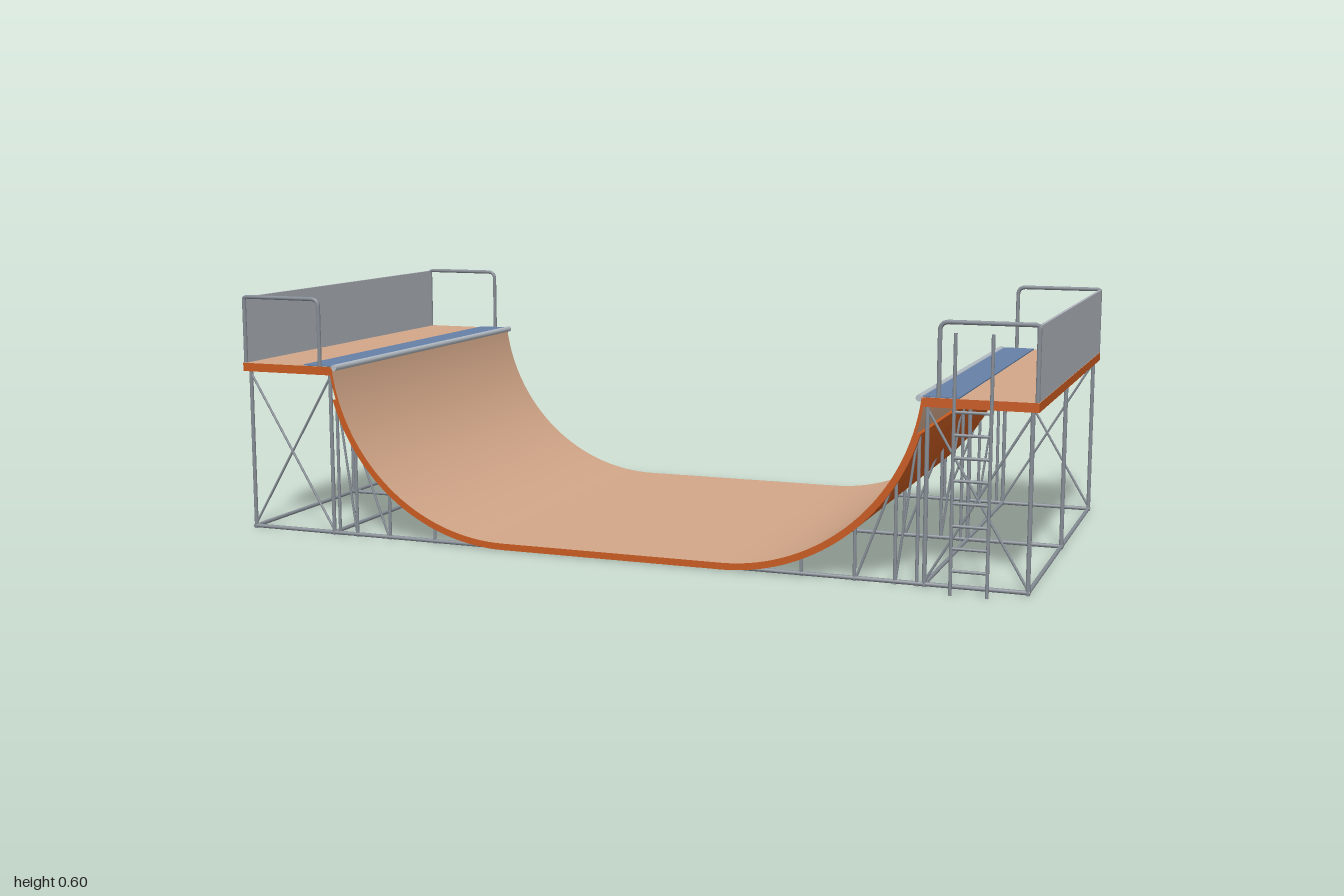
import * as THREE from 'three';
import { toCreasedNormals } from 'three/addons/utils/BufferGeometryUtils.js';

const mat = (name, color) => new THREE.MeshStandardMaterial({ name, color });

const Z0 = -0.52, Z1 = 0.47, ZC = (Z0 + Z1) / 2, LEN = Z1 - Z0;
const ROWS = [0.458, -0.022, -0.502];
const FLAT = 0.28, R = 0.467, FLOOR = 0.017; // transition start, inner radius, riding floor height

export function createModel() {
  const plywood = mat('plywood', 0xd2a688);
  const orange = mat('orange wood', 0xc75a20);
  const blue = mat('blue grip', 0x6580a6);
  const panelGrey = mat('panel grey', 0xaeb2ba);
  const steel = mat('steel', 0x868d95);
  const coping = mat('coping steel', 0xb4bcc4);

  const model = new THREE.Group();
  model.name = 'halfPipe';

  const add = (parent, name, geometry, material) => {
    const mesh = new THREE.Mesh(geometry, material);
    mesh.name = name;
    parent.add(mesh);
    return mesh;
  };
  const box = (parent, name, x0, x1, y0, y1, z0, z1, material) =>
    add(parent, name, new THREE.BoxGeometry(x1 - x0, y1 - y0, z1 - z0), material)
      .position.set((x0 + x1) / 2, (y0 + y1) / 2, (z0 + z1) / 2);

  // Straight pipe between two points
  const pipe = (parent, name, a, b, r = 0.005, material = steel) => {
    const p = new THREE.Vector3(...a), q = new THREE.Vector3(...b);
    const d = q.clone().sub(p);
    const mesh = add(parent, name, new THREE.CylinderGeometry(r, r, d.length(), 10), material);
    mesh.position.copy(p).add(q).multiplyScalar(0.5);
    mesh.quaternion.setFromUnitVectors(new THREE.Vector3(0, 1, 0), d.normalize());
  };

  // Curved layer of the ramp, offset outward from the riding surface
  const rampLayer = (name, inner, outer, topY, materials) => {
    const cy = FLOOR + R;
    const halfProfile = (off) => {
      const r = R + off, end = Math.acos((cy - topY) / r), pts = [];
      for (let i = 0; i <= 32; i++) {
        const t = end * i / 32;
        pts.push(new THREE.Vector2(FLAT + r * Math.sin(t), cy - r * Math.cos(t)));
      }
      return pts;
    };
    const profile = (off) => {
      const h = halfProfile(off);
      return [...h.map((p) => new THREE.Vector2(-p.x, p.y)).reverse(), ...h];
    };
    const shape = new THREE.Shape([...profile(outer), ...profile(inner).reverse()]);
    const geo = new THREE.ExtrudeGeometry(shape, { depth: LEN, bevelEnabled: false });
    geo.translate(0, 0, Z0);
    add(model, name, toCreasedNormals(geo, 0.5), materials);
  };
  rampLayer('ridingSurface', 0, 0.007, 0.424, [orange, plywood]);
  rampLayer('rampBacking', 0.007, 0.016, 0.345, orange);

  // Height of the ramp underside at a given x
  const underside = (x) => FLOOR + R - Math.sqrt((R + 0.012) ** 2 - (x - FLAT) ** 2);

  for (const s of [-1, 1]) {
    const side = new THREE.Group();
    side.name = s > 0 ? 'leftTower' : 'rightTower';
    model.add(side);
    const span = (name, a, b, y0, y1, z0, z1, m) =>
      box(side, name, Math.min(s * a, s * b), Math.max(s * a, s * b), y0, y1, z0, z1, m);

    // Platform deck, grip strip, coping and back panel
    span('deck', 0.742, 1, 0.406, 0.427, Z0, Z1, [orange, orange, plywood, plywood, orange, orange]);
    span('gripStrip', 0.746, 0.826, 0.427, 0.43, Z0 + 0.004, Z1 - 0.004, blue);
    pipe(side, 'coping', [s * 0.738, 0.425, Z0], [s * 0.738, 0.425, Z1], 0.008, coping);
    span('backPanel', 0.992, 0.999, 0.427, 0.593, Z0 + 0.004, Z1 - 0.004, panelGrey);

    // Bent guard rails at both ends
    for (const z of [Z0 + 0.006, Z1 - 0.006]) {
      const v = (x, y) => new THREE.Vector3(s * x, y, z);
      const path = new THREE.CurvePath();
      path.add(new THREE.LineCurve3(v(0.995, 0.42), v(0.995, 0.588)));
      path.add(new THREE.QuadraticBezierCurve3(v(0.995, 0.588), v(0.995, 0.594), v(0.989, 0.594)));
      path.add(new THREE.LineCurve3(v(0.989, 0.594), v(0.8, 0.594)));
      path.add(new THREE.QuadraticBezierCurve3(v(0.8, 0.594), v(0.78, 0.594), v(0.78, 0.574)));
      path.add(new THREE.LineCurve3(v(0.78, 0.574), v(0.78, 0.42)));
      add(side, 'guardRail', new THREE.TubeGeometry(path, 90, 0.005, 8), steel);
    }

    // Support frames
    ROWS.forEach((z, i) => {
      const bar = (name, x0, y0, x1, y1, r) => pipe(side, name, [s * x0, y0, z], [s * x1, y1, z], r);
      bar('outerPost', 0.985, 0, 0.985, 0.41);
      bar('innerPost', 0.755, 0, 0.755, 0.41);
      bar('rampPost', 0.738, 0, 0.738, 0.345, 0.004);
      bar('floorBeam', 0.99, 0.006, 0.25, 0.006);
      for (const x of [0.688, 0.595, 0.47]) bar('rampStrut', x, 0, x, underside(x), 0.004);
      bar('rampBrace', 0.6, 0.01, 0.685, 0.24, 0.003);
      bar('rampBrace', 0.69, 0.01, 0.733, 0.33, 0.003);
      if (i !== 1) {
        bar('crossBrace', 0.985, 0.012, 0.755, 0.4, 0.003);
        bar('crossBrace', 0.755, 0.012, 0.985, 0.4, 0.003);
      }
    });
    for (const x of [0.985, 0.755])
      pipe(side, 'floorRail', [s * x, 0.006, ROWS[0]], [s * x, 0.006, ROWS[2]]);
  }

  // Floor beams under the flat bottom
  for (const z of [ROWS[0], ROWS[2]]) pipe(model, 'flatBeam', [-0.25, 0.006, z], [0.25, 0.006, z]);

  // Ladder
  const ladder = new THREE.Group();
  ladder.name = 'ladder';
  model.add(ladder);
  for (const x of [0.825, 0.906]) pipe(ladder, 'ladderRail', [x, 0, 0.515], [x, 0.576, 0.515], 0.004);
  for (let i = 0; i < 8; i++) {
    const y = 0.055 + i * 0.05;
    pipe(ladder, 'rung', [0.825, y, 0.515], [0.906, y, 0.515], 0.0035);
  }

  return model;
}
